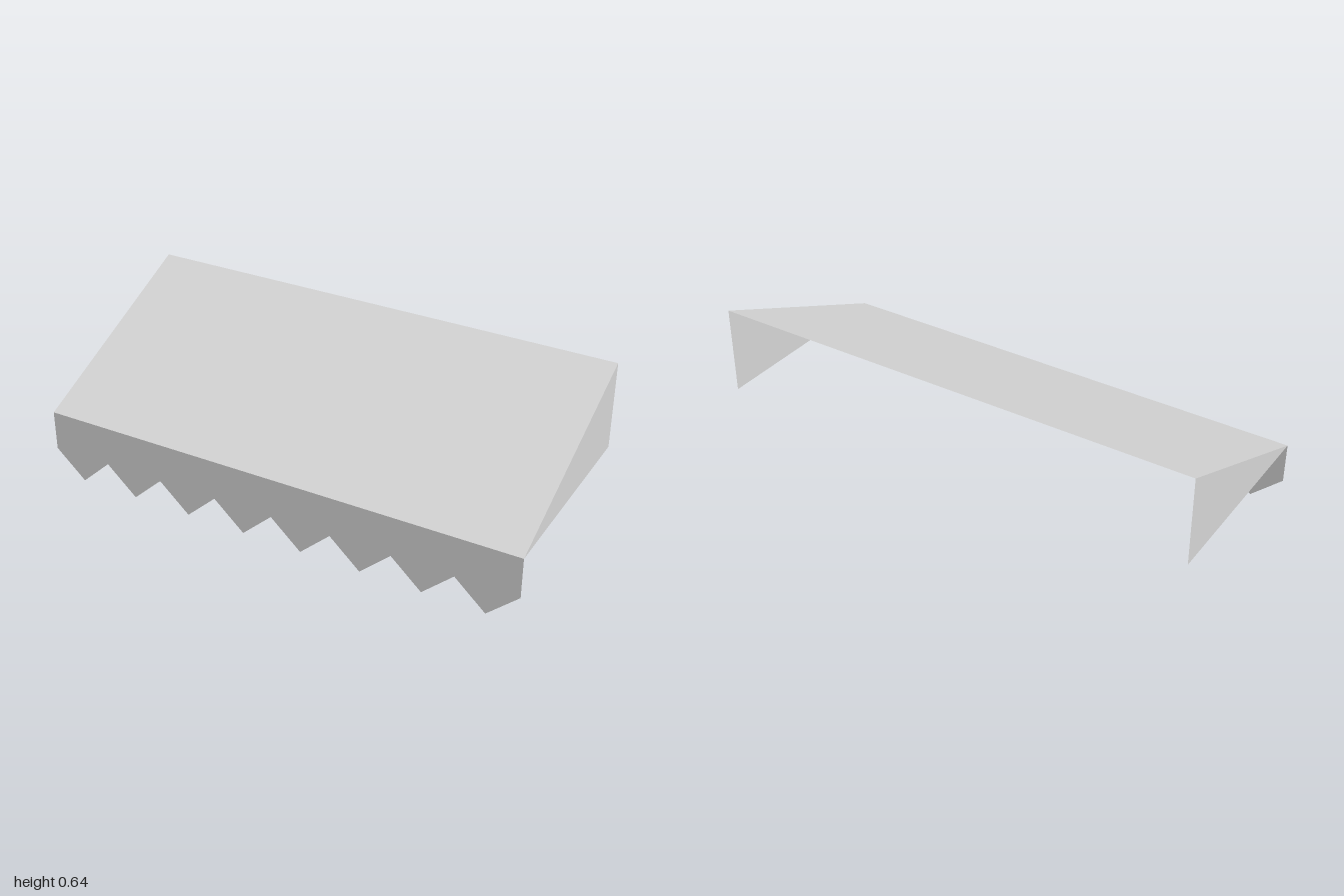
import * as THREE from 'three';

const HALF_WIDTH = 1, FRONT = 0.414, BACK = -0.414;
const EAVE = 0.28, RIDGE = 0.64, NOTCH = 0.115, TEETH = 8;

export function createModel() {
  const group = new THREE.Group();
  const canvas = new THREE.MeshStandardMaterial({ color: 0xd4d4d4, side: THREE.DoubleSide });
  canvas.name = 'light grey canvas';

  const add = (name, geometry) => {
    const mesh = new THREE.Mesh(geometry, canvas);
    mesh.name = name;
    group.add(mesh);
    return mesh;
  };

  // Sloping roof sheet
  const depth = FRONT - BACK, rise = RIDGE - EAVE;
  const roof = add('roof', new THREE.PlaneGeometry(2 * HALF_WIDTH, Math.hypot(depth, rise)));
  roof.position.y = (EAVE + RIDGE) / 2;
  roof.rotation.x = -Math.atan2(depth, rise);

  // Zigzag valance hanging from the front edge
  const valance = new THREE.Shape();
  valance.moveTo(HALF_WIDTH, EAVE);
  valance.lineTo(-HALF_WIDTH, EAVE);
  for (let i = 0; i <= 2 * TEETH; i++) {
    valance.lineTo(-HALF_WIDTH + i * HALF_WIDTH / TEETH, i % 2 ? 0 : NOTCH);
  }
  add('valance', new THREE.ShapeGeometry(valance)).position.z = FRONT;

  // Triangular side panels, drawn in (-z, y) and turned to face +x
  const side = new THREE.Shape();
  side.moveTo(-FRONT, EAVE);
  side.lineTo(-BACK, EAVE);
  side.lineTo(-BACK, RIDGE);
  side.closePath();
  const rightPanel = new THREE.ShapeGeometry(side).rotateY(Math.PI / 2);
  add('leftSidePanel', rightPanel).position.x = HALF_WIDTH;

  // Mirrored panel, with its corners reordered to face -x
  const mirrored = rightPanel.clone();
  mirrored.index.array.reverse();
  const normals = mirrored.attributes.normal;
  for (let i = 0; i < normals.count; i++) normals.setXYZ(i, -1, 0, 0);
  add('rightSidePanel', mirrored).position.x = -HALF_WIDTH;

  return group;
}
